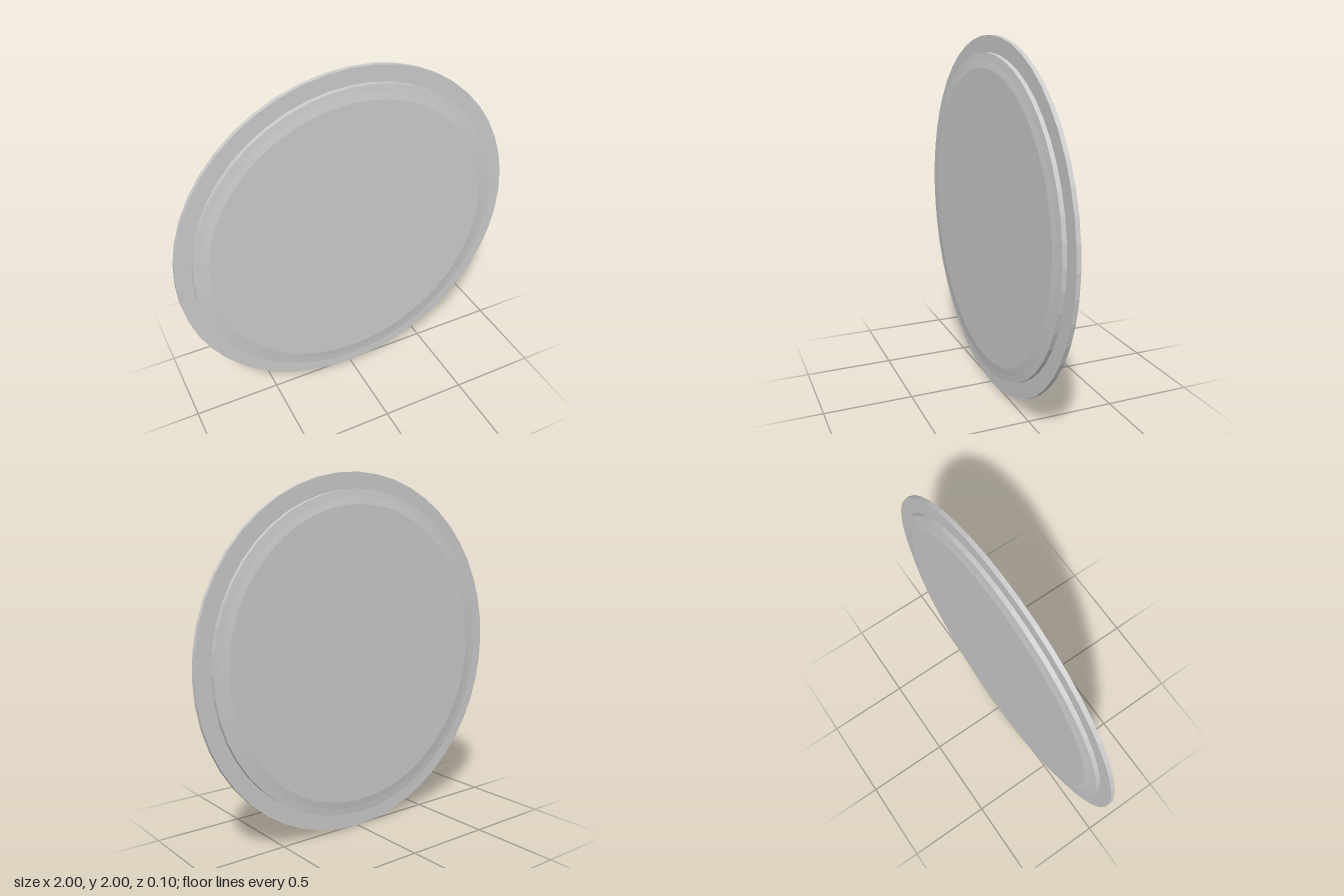
import * as THREE from 'three';

const SEGMENTS = 48;

// Turned part whose axis runs front to back; profile holds [radius, depth] from back to front
function turned(name, profile, material) {
  const geometry = new THREE.LatheGeometry(profile.map(([r, d]) => new THREE.Vector2(r, d)), SEGMENTS);
  geometry.rotateY(Math.PI / 2);
  geometry.rotateX(Math.PI / 2);
  const mesh = new THREE.Mesh(geometry, material);
  mesh.name = name;
  mesh.position.y = 1;
  return mesh;
}

// Completes a front half profile (centre to edge) with its mirrored back
function mirrored(half) {
  return [...half.map(([r, d]) => [r, -d]), ...[...half].reverse()];
}

export function createModel() {
  const group = new THREE.Group();
  group.name = 'disc';
  const material = new THREE.MeshStandardMaterial({ color: 0xcccccc, flatShading: true });

  // Thick body with a shallow two-step bevel on both faces
  group.add(turned('body', mirrored([[0, 0.048], [0.83, 0.048], [0.87, 0.041], [0.91, 0.036]]), material));

  // Thin flange around the body
  const flange = [[0.88, -0.012], [1, -0.012], [1, 0.012], [0.88, 0.012]];
  group.add(turned('flange', flange, material));

  return group;
}
